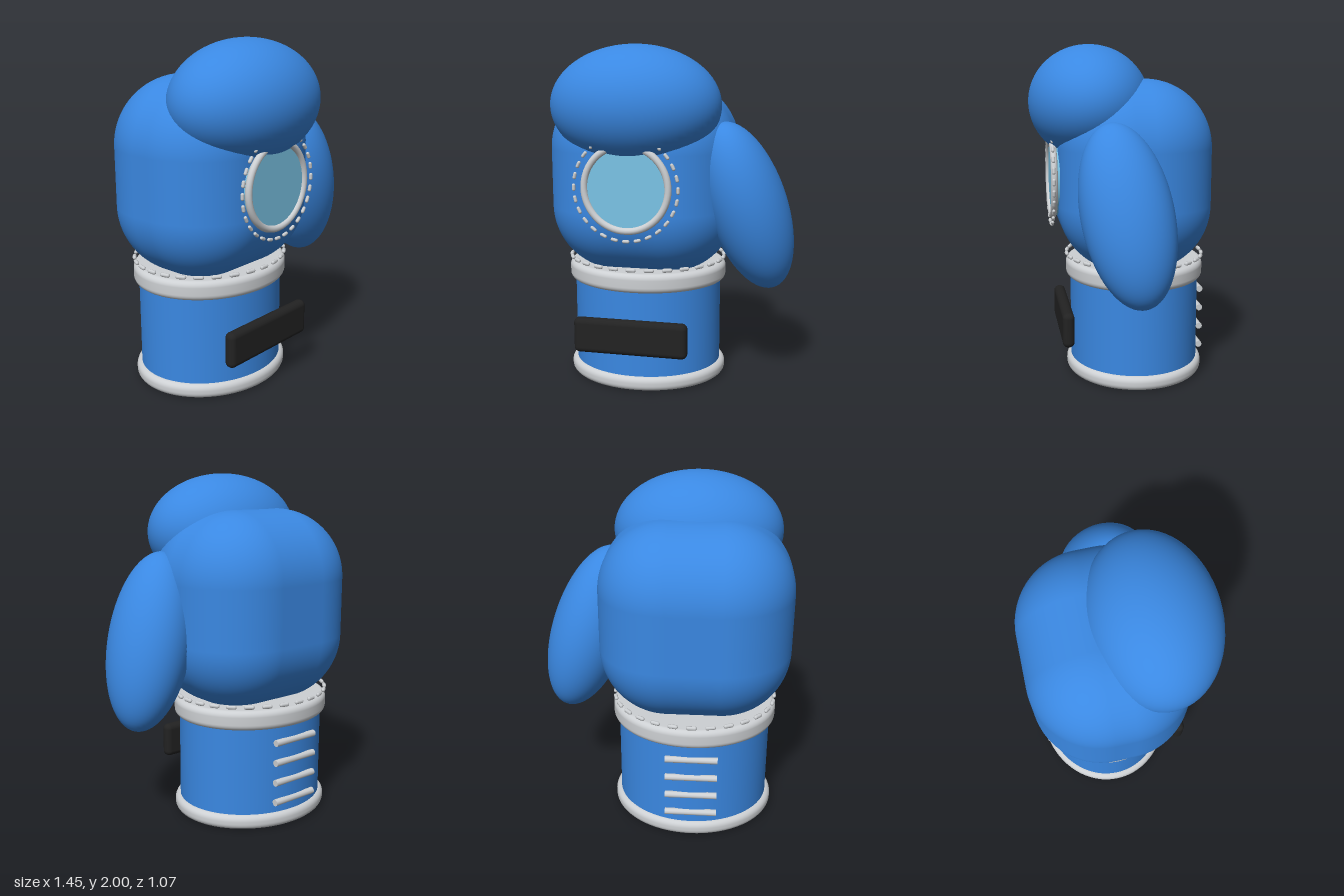
import * as THREE from 'three';
import { RoundedBoxGeometry } from 'three/addons/geometries/RoundedBoxGeometry.js';

const CX = -0.175; // axis of the cuff and mitt
const CUFF_Z = -0.1;

function material(name, color) {
  const m = new THREE.MeshStandardMaterial({ color });
  m.name = name;
  return m;
}

export function createModel() {
  const model = new THREE.Group();
  model.name = 'boxingGlove';
  const blue = material('blue leather', 0x3a88e2);
  const silver = material('silver trim', 0xcdd0d3);
  const black = material('black patch', 0x222222);
  const sky = material('pale blue window', 0x7ac4e6);

  function add(name, geometry, mat, x, y, z, parent = model) {
    const mesh = new THREE.Mesh(geometry, mat);
    mesh.name = name;
    mesh.position.set(x, y, z);
    parent.add(mesh);
    return mesh;
  }

  function ellipsoid(name, rx, ry, rz, x, y, z) {
    const mesh = add(name, new THREE.SphereGeometry(1, 64, 40), blue, x, y, z);
    mesh.scale.set(rx, ry, rz);
    return mesh;
  }

  // Closed oval band with rounded rims
  function band(name, y0, y1, rx, rz, round) {
    const points = [new THREE.Vector2(0, y0)];
    for (const side of [-1, 1]) {
      for (let i = 0; i <= 6; i++) {
        const a = (side < 0 ? -1 + i / 6 : i / 6) * Math.PI / 2;
        const y = side < 0 ? y0 + round : y1 - round;
        points.push(new THREE.Vector2(rx - round + round * Math.cos(a), y + round * Math.sin(a)));
      }
    }
    points.push(new THREE.Vector2(0, y1));
    const mesh = add(name, new THREE.LatheGeometry(points, 72), silver, CX, 0, CUFF_Z);
    mesh.scale.z = rz / rx;
  }

  // Ring of dashes following an oval given by a point function of the angle
  function stitches(name, count, length, radius, pointAt) {
    const group = new THREE.Group();
    group.name = name;
    const geometry = new THREE.CapsuleGeometry(radius, length - 2 * radius, 4, 8);
    const up = new THREE.Vector3(0, 1, 0);
    for (let i = 0; i < count; i++) {
      const a = (i / count) * Math.PI * 2;
      const p = pointAt(a);
      const dir = pointAt(a + 0.01).sub(pointAt(a - 0.01)).normalize();
      add('stitch', geometry, silver, p.x, p.y, p.z, group).quaternion.setFromUnitVectors(up, dir);
    }
    model.add(group);
  }

  // Padded mitt, finger roll and thumb
  add('mitt', new RoundedBoxGeometry(1.105, 1.14, 0.915, 14, 0.4), blue, CX, 1.23, -0.078);
  ellipsoid('fingerRoll', 0.49, 0.34, 0.36, CX, 1.66, 0.175);
  ellipsoid('thumb', 0.23, 0.515, 0.255, 0.455, 1.08, 0.045).rotation.set(0.155, 0, 0.31);

  // Oval cuff between two silver bands
  const cuff = add('cuff', new THREE.CylinderGeometry(1, 1, 0.58, 72), blue, CX, 0.34, CUFF_Z);
  cuff.scale.set(0.45, 1, 0.395);
  band('baseBand', 0, 0.085, 0.482, 0.422, 0.035);
  band('wristBand', 0.595, 0.71, 0.482, 0.422, 0.035);
  stitches('wristStitches', 28, 0.06, 0.012, (a) => new THREE.Vector3(
    CX + 0.472 * Math.sin(a), 0.735, CUFF_Z + 0.418 * Math.cos(a)));

  // Round window with rim and stitching
  add('window', new THREE.CylinderGeometry(0.238, 0.238, 0.035, 64), sky, CX, 1.22, 0.39)
    .rotation.x = Math.PI / 2;
  add('windowRim', new THREE.TorusGeometry(0.238, 0.02, 12, 64), silver, CX, 1.22, 0.405);
  stitches('windowStitches', 28, 0.042, 0.01, (a) => new THREE.Vector3(
    CX + 0.295 * Math.sin(a), 1.22 + 0.295 * Math.cos(a), 0.412));

  // Front patch
  add('cuffPatch', new RoundedBoxGeometry(0.67, 0.21, 0.07, 5, 0.033), black, CX, 0.34, 0.341);

  // Lacing bars on the back of the cuff
  for (const y of [0.15, 0.27, 0.39, 0.51]) {
    add('laceBar', new THREE.CylinderGeometry(0.02, 0.02, 0.3, 10), silver, CX, y, -0.492)
      .rotation.z = Math.PI / 2;
  }
  return model;
}
